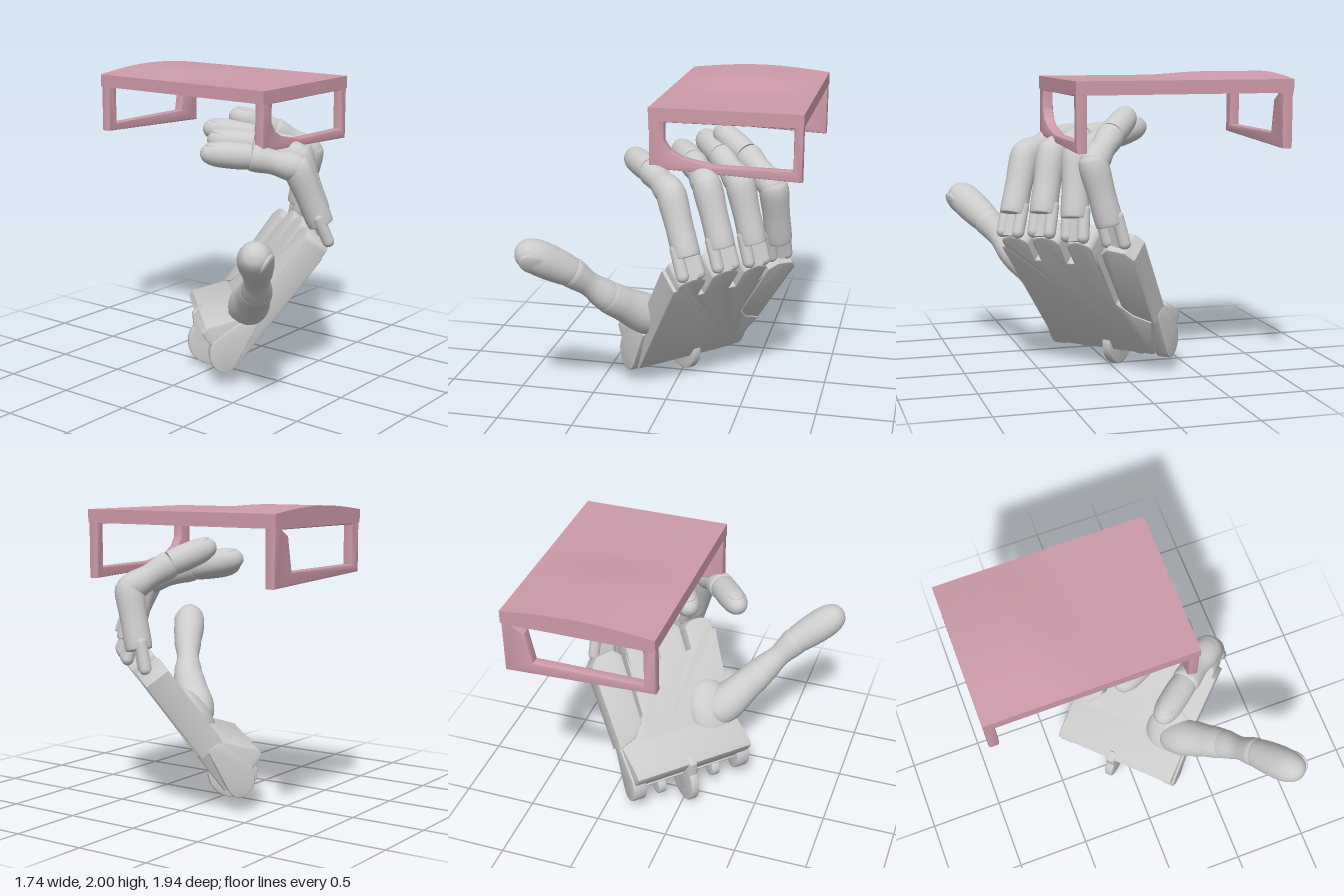
import * as THREE from 'three';
import { toCreasedNormals } from 'three/addons/utils/BufferGeometryUtils.js';

const grey = new THREE.MeshStandardMaterial({ color: 0xcccccc });
const pink = new THREE.MeshStandardMaterial({ color: 0xcc9aa8 });
const V = (a) => new THREE.Vector3(...a);
const UP = new THREE.Vector3(0, 1, 0);

function add(parent, name, geometry, material = grey) {
  const mesh = new THREE.Mesh(geometry, material);
  mesh.name = name;
  parent.add(mesh);
  return mesh;
}

function extrude(shape, depth, bevel = 0.012) {
  const g = new THREE.ExtrudeGeometry(shape, {
    depth: depth - 2 * bevel, bevelEnabled: true, bevelThickness: bevel,
    bevelSize: bevel, bevelOffset: -bevel, bevelSegments: 2, curveSegments: 14,
  });
  g.translate(0, 0, bevel);
  return toCreasedNormals(g, 0.6);
}

const polygon = (pts) => new THREE.Shape(pts.map((p) => new THREE.Vector2(...p)));

// Turned limb from a to b; profile rows are [fraction of length, radius]
function limb(parent, name, a, b, profile) {
  const dir = b.clone().sub(a), len = dir.length();
  const curve = new THREE.SplineCurve(profile.map(([t, r]) => new THREE.Vector2(r, t * len)));
  const pts = curve.getPoints(30).map((p) => new THREE.Vector2(Math.max(p.x, 0), p.y));
  const mesh = add(parent, name, new THREE.LatheGeometry(pts, 24));
  mesh.position.copy(a);
  mesh.quaternion.setFromUnitVectors(UP, dir.normalize());
}

function ball(parent, name, p, r, scale) {
  const mesh = add(parent, name, new THREE.SphereGeometry(r, 24, 16));
  mesh.position.copy(p);
  mesh.scale.set(...scale);
  return mesh;
}

// Rotation with y along dir and z as near as possible to outward
function aim(mesh, dir, outward) {
  const z = outward.clone().addScaledVector(dir, -outward.dot(dir)).normalize();
  mesh.quaternion.setFromRotationMatrix(new THREE.Matrix4().makeBasis(dir.clone().cross(z), dir, z));
  return z;
}

// Flattened plate lying on the outer side of a fingertip
function nail(parent, a, b, outward, r) {
  const mesh = ball(parent, 'nail', a.clone().lerp(b, 0.7), r, [0.75, 0.95, 0.25]);
  mesh.position.addScaledVector(aim(mesh, b.clone().sub(a).normalize(), outward), r * 0.82);
}

const SHAFT = [[0, 0], [0, 0.07], [0.06, 0.088], [0.5, 0.088], [0.85, 0.095], [1, 0.092], [1.1, 0.078], [1.17, 0.04], [1.18, 0]];
const MIDDLE = [[-0.2, 0], [-0.12, 0.075], [0.15, 0.094], [0.5, 0.08], [0.85, 0.09], [1, 0.078], [1.02, 0]];
const TIP = [[0, 0], [0, 0.07], [0.03, 0.083], [0.35, 0.087], [0.7, 0.08], [0.9, 0.056], [0.98, 0.025], [1, 0]];

function finger(parent, name, knuckle, bend, tip, side, back) {
  const g = new THREE.Group();
  g.name = name;
  parent.add(g);
  const k = V(knuckle), m = V(bend), t = V(tip);
  const dir = m.clone().sub(k).normalize();
  const joint = m.clone().lerp(t, 0.48).add(new THREE.Vector3(0, 0.025, 0));
  limb(g, 'proximalSegment', k.clone().addScaledVector(dir, 0.08), m, SHAFT);
  limb(g, 'middleSegment', m, joint, MIDDLE);
  limb(g, 'fingertip', joint, t, TIP);
  nail(g, joint, t, UP, 0.07);
  // Forked hinge at the knuckle, with a recessed block between the prongs
  for (const s of [-1, 1]) {
    const prong = add(g, 'hingeProng', new THREE.CapsuleGeometry(0.04, 0.17, 6, 14));
    prong.position.copy(k).addScaledVector(side, s * 0.06).addScaledVector(dir, 0.04).addScaledVector(back, -0.015);
    aim(prong, dir, back);
  }
  const block = add(g, 'hingeBlock', new THREE.BoxGeometry(0.07, 0.2, 0.05));
  block.position.copy(k).addScaledVector(dir, 0.02).addScaledVector(back, -0.02);
  aim(block, dir, back);
}

function buildPalm(hand, E, L, N) {
  // Palm frame: x across the hand, y toward the fingers, z out of its back
  const palm = new THREE.Group();
  palm.name = 'palm';
  palm.quaternion.setFromRotationMatrix(new THREE.Matrix4().makeBasis(E, L, N));
  palm.position.set(0, 0.12, 0);
  hand.add(palm);

  // Plate with three rounded knuckle lobes separated by slots
  const s = new THREE.Shape();
  s.moveTo(0.38, 0.04);
  s.lineTo(0.46, 0.37);
  s.lineTo(0.34, 0.42);
  s.lineTo(0.25, 0.52);
  s.lineTo(0.25, 0.98);
  for (const [c, w, top] of [[0.145, 0.09, 1.01], [-0.095, 0.1, 1.03], [-0.335, 0.1, 1.01]]) {
    s.lineTo(c + w, 0.87);
    s.lineTo(c + w, top);
    s.absellipse(c, top, w, 0.06, 0, Math.PI, false);
    s.lineTo(c - w, c < -0.2 ? 0.97 : 0.87);
  }
  s.lineTo(-0.46, 0.97);
  s.lineTo(-0.39, 0.04);
  add(palm, 'palmPlate', extrude(s, 0.18)).position.z = -0.125;

  // Separate outer strip that carries the small finger
  const strip = polygon([[0.27, 0.48], [0.34, 0.38], [0.47, 0.34], [0.51, 0.94], [0.46, 1.0], [0.34, 1.02], [0.28, 0.97]]);
  add(palm, 'outerStrip', extrude(strip, 0.18)).position.z = -0.135;

  // Side profiles (along hand, out of back) swept across the hand
  const across = new THREE.Matrix4().makeBasis(new THREE.Vector3(0, 1, 0), new THREE.Vector3(0, 0, 1), new THREE.Vector3(1, 0, 0));
  const sweep = (name, shape, u, width) => {
    const g = extrude(shape, width);
    g.translate(0, 0, u - width / 2).applyMatrix4(across);
    add(palm, name, g);
  };
  const ridge = polygon([[0.05, -0.1], [0.07, -0.18], [0.09, -0.25], [0.11, -0.285], [0.15, -0.285], [0.25, -0.21], [0.36, -0.12], [0.36, -0.02], [0.05, -0.02]]);
  sweep('wristRidge', ridge, 0.02, 0.88);
  // Rounded cheeks closing the wrist on both sides
  const cheek = new THREE.Shape();
  cheek.moveTo(0.36, -0.02);
  cheek.lineTo(0.08, 0.03);
  cheek.splineThru([[0, 0.025], [-0.04, -0.03], [-0.025, -0.11], [0.03, -0.165], [0.1, -0.19]].map((p) => new THREE.Vector2(...p)));
  cheek.lineTo(0.36, -0.11);
  const disc = (v, w, r) => new THREE.Shape().absarc(v, w, r, 0, Math.PI * 2, false);
  for (const side of [-1, 1]) {
    sweep('wristCheek', cheek, 0.02 + side * 0.405, 0.1);
    sweep('wristLug', disc(0.03, -0.045, 0.075), 0.03 + side * 0.21, 0.06);
  }
  sweep('wristPivot', disc(0.015, -0.064, 0.17), 0.045, 0.06);
  const tongue = polygon([[-0.08, -0.14], [0.1, -0.3], [0.17, -0.28], [0.15, 0.01], [-0.08, 0.01]]);
  sweep('wristTongue', tongue, 0.045, 0.06);

  // Fleshy mound under the thumb
  ball(palm, 'thumbMound', new THREE.Vector3(-0.27, 0.42, -0.1), 0.2, [0.85, 1.1, 0.5]);
}

function buildThumb(hand) {
  const thumb = new THREE.Group();
  thumb.name = 'thumb';
  hand.add(thumb);
  const base = V([-0.14, 0.53, 0.35]), mid = V([-0.36, 0.73, 0.58]);
  const joint = V([-0.56, 0.94, 0.73]), tip = V([-0.85, 1.14, 0.92]);
  limb(thumb, 'thumbBase', base, mid, [[-0.35, 0], [-0.25, 0.1], [0.1, 0.135], [0.6, 0.115], [0.9, 0.108], [1.1, 0.088], [1.2, 0]]);
  limb(thumb, 'thumbShaft', mid, joint, [[-0.2, 0], [-0.1, 0.085], [0.1, 0.1], [0.5, 0.08], [0.8, 0.092], [1, 0.098], [1.15, 0.07], [1.2, 0]]);
  limb(thumb, 'thumbTip', joint, tip, [[0, 0], [0, 0.08], [0.04, 0.098], [0.4, 0.112], [0.7, 0.108], [0.9, 0.078], [0.98, 0.035], [1, 0]]);
  nail(thumb, joint, tip, V([0.3, -0.45, 0.85]), 0.1);
}

function buildTable(root) {
  const table = new THREE.Group();
  table.name = 'table';
  root.add(table);

  // Slab with a gentle swell toward the rear
  const slab = new THREE.BoxGeometry(0.98, 0.085, 1.4, 20, 1, 28);
  slab.translate(0.37, 1.92, -0.25);
  const p = slab.attributes.position;
  for (let i = 0; i < p.count; i++) {
    if (p.getY(i) < 1.93) continue;
    const rise = THREE.MathUtils.smoothstep(-p.getZ(i), 0.1, 0.55);
    const across = Math.sin(Math.PI * (p.getX(i) + 0.12) / 0.98);
    p.setY(i, p.getY(i) + 0.035 * rise * Math.max(across, 0));
  }
  slab.computeVertexNormals();
  add(table, 'tabletop', toCreasedNormals(slab, 0.6), pink);

  // End frames, each an open rectangle with one filled lower corner
  const frame = (name, hole, z) => {
    const s = polygon([[-0.118, 1.57], [0.858, 1.53], [0.858, 1.955], [-0.118, 1.955]]);
    s.holes.push(new THREE.Path(hole.map((q) => new THREE.Vector2(...q))));
    add(table, name, extrude(s, 0.07), pink).position.z = z;
  };
  frame('frontFrame', [[-0.02, 1.87], [0.8, 1.87], [0.8, 1.6], [0.3, 1.605], [0.1, 1.645], [0.02, 1.69], [-0.02, 1.75]], 0.378);
  frame('rearFrame', [[-0.04, 1.87], [0.78, 1.87], [0.71, 1.83], [0.69, 1.72], [0.67, 1.62], [-0.04, 1.62]], -0.947);
}

export function createModel() {
  const root = new THREE.Group();
  const hand = new THREE.Group();
  hand.name = 'hand';
  root.add(hand);

  const E = V([1, 0, -1]).normalize();
  const L = V([0.42, 0.8, 0.42]).normalize();
  const N = E.clone().cross(L);
  buildPalm(hand, E, L, N);
  buildThumb(hand);

  // Knuckle, bend and tip of each finger
  finger(hand, 'indexFinger', [0.21, 1.01, 0.72], [0.06, 1.46, 0.59], [-0.33, 1.56, 0.1], E, N);
  finger(hand, 'middleFinger', [0.4, 1.03, 0.56], [0.26, 1.49, 0.46], [-0.04, 1.59, -0.07], E, N);
  finger(hand, 'ringFinger', [0.57, 1.02, 0.39], [0.45, 1.48, 0.34], [0.09, 1.64, -0.21], E, N);
  finger(hand, 'smallFinger', [0.69, 0.99, 0.17], [0.66, 1.45, 0.29], [0.22, 1.73, -0.08], E, N);

  buildTable(root);
  return root;
}
